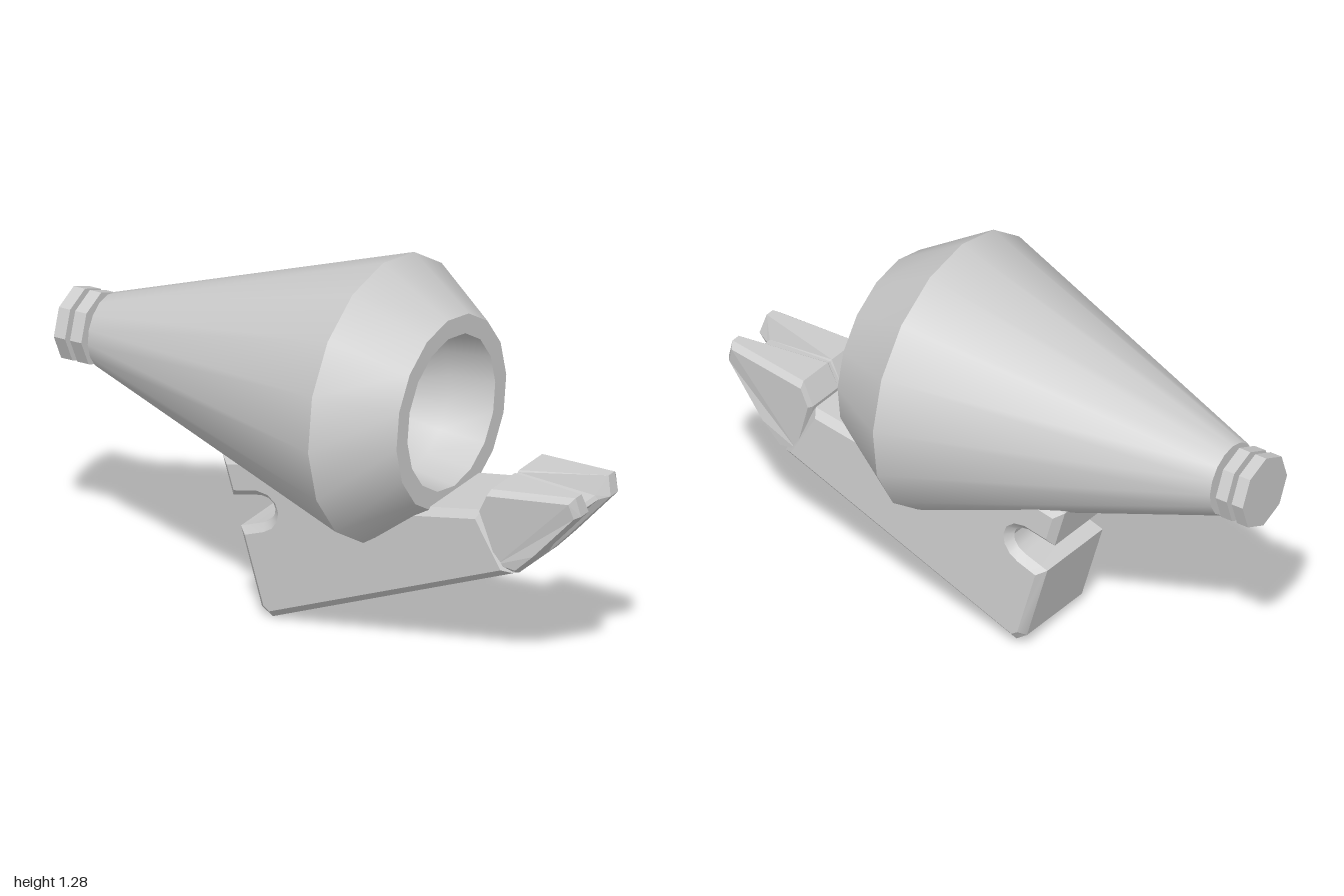
import * as THREE from 'three';
import { toCreasedNormals } from 'three/addons/utils/BufferGeometryUtils.js';

const AXIS_Y = 0.81;
const grey = (flatShading = false) =>
  new THREE.MeshStandardMaterial({ color: 0xcccccc, flatShading });

function part(name, geometry, flat) {
  const mesh = new THREE.Mesh(geometry, grey(flat));
  mesh.name = name;
  return mesh;
}

// Double cone with a flat rim and a hollow bowl in its mouth; [radius, x] pairs
function shellGeometry() {
  const profile = [
    [0, -0.87], [0.125, -0.87], [0.477, 0.2], [0.325, 0.44],
    [0.26, 0.44], [0.235, 0.28], [0.15, 0.14], [0, 0.08],
  ].map(([r, x]) => new THREE.Vector2(r, x));
  const g = new THREE.LatheGeometry(profile, 16).rotateZ(-Math.PI / 2);
  return toCreasedNormals(g, 0.65);
}

// Slanted keel under the shell, with a rounded notch in its rear edge
function keelGeometry() {
  const s = new THREE.Shape();
  s.moveTo(-0.17, 0.012);
  s.lineTo(0.75, 0.373);
  s.lineTo(0.64, 0.575);
  s.lineTo(0.44, 0.54);
  s.lineTo(0.2, 0.5);
  s.lineTo(-0.1, 0.6);
  s.lineTo(-0.34, 0.55);
  s.lineTo(-0.305, 0.415);
  s.lineTo(-0.2, 0.437);
  s.bezierCurveTo(-0.13, 0.44, -0.13, 0.365, -0.19, 0.342);
  s.lineTo(-0.28, 0.31);
  s.lineTo(-0.21, 0.04);
  const bevel = 0.025;
  const g = new THREE.ExtrudeGeometry(s, {
    depth: 2 - 2 * bevel / 0.18, bevelEnabled: true, bevelSegments: 1,
    bevelThickness: bevel / 0.18, bevelSize: bevel, bevelOffset: -bevel, curveSegments: 6,
  });
  g.translate(0, -AXIS_Y, -1 + bevel / 0.18);
  // narrow the keel towards its front
  const p = g.attributes.position;
  for (let i = 0; i < p.count; i++) {
    p.setZ(i, p.getZ(i) * (0.182 - 0.022 * (p.getX(i) + 0.2)));
  }
  return toCreasedNormals(g, 0.5);
}

// Joins closed sections, ordered from +z to -z, and caps both ends
function loft(sections) {
  const n = sections[0].length;
  const index = [];
  for (let i = 0; i < sections.length - 1; i++) {
    for (let j = 0; j < n; j++) {
      const k = (j + 1) % n;
      const a = i * n + j, b = i * n + k, c = a + n, d = b + n;
      index.push(a, c, b, b, c, d);
    }
  }
  const last = (sections.length - 1) * n;
  for (let j = 1; j < n - 1; j++) {
    index.push(0, j, j + 1, last, last + j + 1, last + j);
  }
  const g = new THREE.BufferGeometry();
  g.setAttribute('position', new THREE.Float32BufferAttribute(sections.flat(2), 3));
  g.setIndex(index);
  g.computeVertexNormals();
  return g;
}

// Pronged nose: side face, chamfer edge, groove lip and groove floor, mirrored
function noseGeometry() {
  const half = [
    [[0.70, 0.40, 0.155], [0.765, 0.39, 0.15], [0.835, 0.455, 0.15], [0.985, 0.615, 0.13],
      [0.972, 0.668, 0.14], [0.68, 0.645, 0.173], [0.65, 0.585, 0.173]],
    [[0.70, 0.355, 0.115], [0.757, 0.367, 0.115], [0.83, 0.44, 0.115], [1.0, 0.62, 0.11],
      [0.985, 0.685, 0.115], [0.685, 0.662, 0.15], [0.645, 0.58, 0.15]],
    [[0.70, 0.355, 0.06], [0.757, 0.367, 0.06], [0.83, 0.44, 0.06], [1.0, 0.62, 0.065],
      [0.985, 0.685, 0.08], [0.685, 0.662, 0.012], [0.645, 0.58, 0.012]],
    [[0.70, 0.355, 0.045], [0.757, 0.367, 0.045], [0.815, 0.455, 0.045], [0.96, 0.605, 0.05],
      [0.95, 0.618, 0.05], [0.687, 0.658, 0.005], [0.645, 0.58, 0.005]],
  ].map((sec) => sec.map(([x, y, z]) => [x, y - AXIS_Y, z]));
  const mirrored = half.map((sec) => sec.map(([x, y, z]) => [x, y, -z])).reverse();
  return loft([...half, ...mirrored]);
}

export function createModel() {
  const model = new THREE.Group();
  model.name = 'coneOnKeel';

  // Shell and tail discs share one axis
  const body = new THREE.Group();
  body.name = 'coneBody';
  body.rotation.z = 0.01;
  body.add(part('shell', shellGeometry()));
  for (const [name, x] of [['tailDiscOuter', -0.977], ['tailDiscInner', -0.915]]) {
    const g = new THREE.CylinderGeometry(0.127, 0.127, 0.043, 8).rotateZ(Math.PI / 2);
    g.translate(x, 0, 0);
    body.add(part(name, g, true));
  }
  model.add(body);

  model.add(part('keel', keelGeometry()));
  model.add(part('prongedNose', noseGeometry(), true));

  // The whole piece rests slightly rolled and turned
  model.rotation.set(0.056, -0.014, 0);
  model.position.set(0, AXIS_Y, -0.006);
  const root = new THREE.Group();
  root.add(model);
  return root;
}
